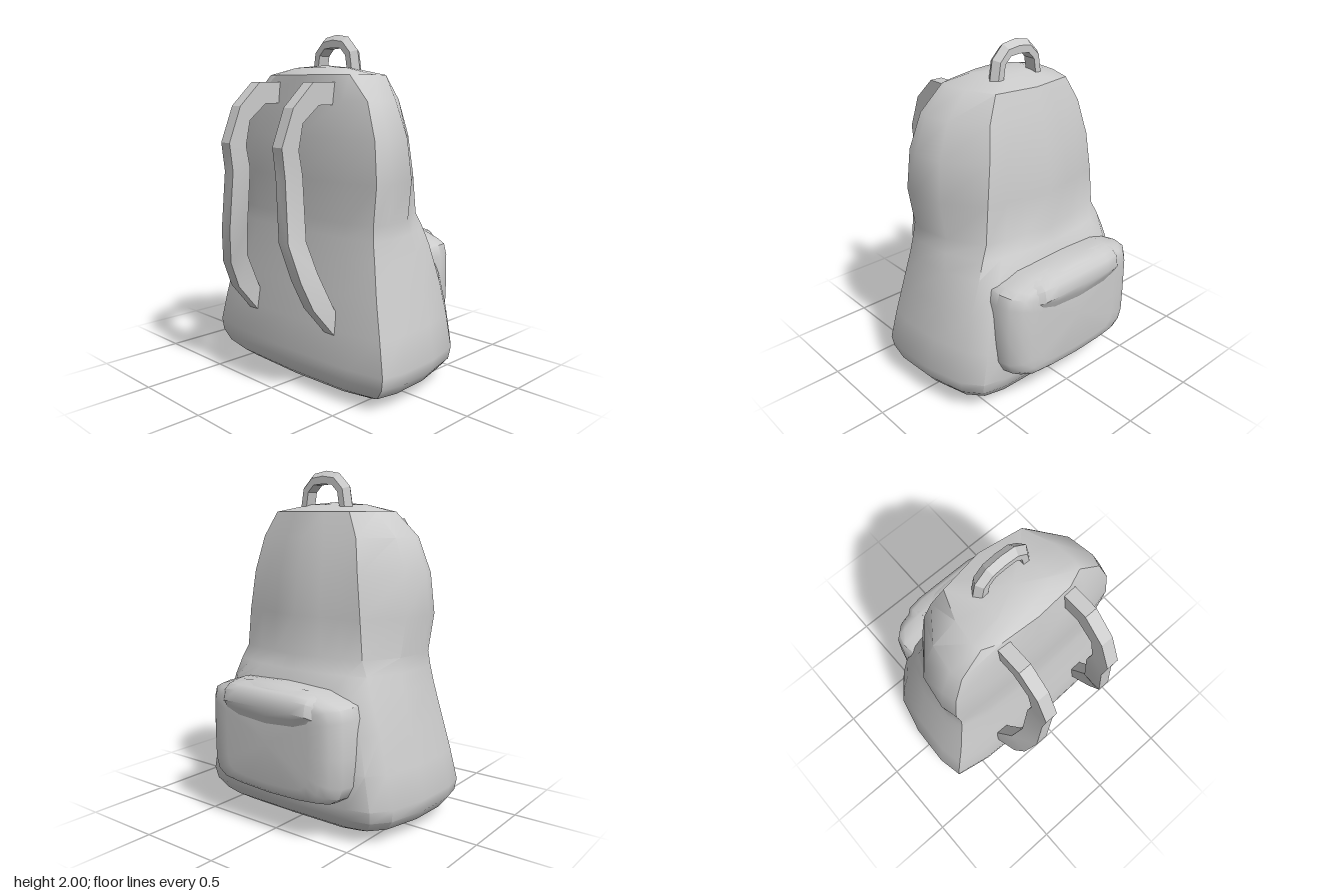
import * as THREE from 'three';
import { toCreasedNormals } from 'three/addons/utils/BufferGeometryUtils.js';

const material = new THREE.MeshStandardMaterial({ color: 0xcccccc });
const lerp = THREE.MathUtils.lerp;

// Closed skin over rings of [x, y, z] points; each end is fanned to its centre,
// shifted by an optional offset. Winding is set so that faces point outward.
function loft(name, rings, crease, startOffset = [0, 0, 0], endOffset = [0, 0, 0]) {
  const n = rings[0].length;
  const points = rings.flat();
  const centre = (ring, offset) =>
    offset.map((o, k) => o + ring.reduce((sum, p) => sum + p[k], 0) / n);
  const start = points.push(centre(rings[0], startOffset)) - 1;
  const end = points.push(centre(rings[rings.length - 1], endOffset)) - 1;
  const last = (rings.length - 1) * n;
  const faces = [];
  for (let j = 0; j < n; j++) {
    const k = (j + 1) % n;
    for (let i = 0; i < last; i += n) {
      faces.push([i + j, i + k, i + n + k], [i + j, i + n + k, i + n + j]);
    }
    faces.push([start, k, j], [end, last + j, last + k]);
  }
  const v = points.map((p) => new THREE.Vector3(...p));
  const volume = faces.reduce(
    (sum, [a, b, c]) => sum + v[a].dot(new THREE.Vector3().crossVectors(v[b], v[c])), 0);
  const index = faces.flatMap(([a, b, c]) => (volume < 0 ? [a, c, b] : [a, b, c]));
  const geometry = new THREE.BufferGeometry();
  geometry.setAttribute('position', new THREE.Float32BufferAttribute(points.flat(), 3));
  geometry.setIndex(index);
  const mesh = new THREE.Mesh(toCreasedNormals(geometry, crease), material);
  mesh.name = name;
  return mesh;
}

// Main bag: horizontal sections, round-fronted below and creased above
function makeBody() {
  // y, back x, half width, front corner x, front corner z, front x, roundness
  const rows = [
    [0.01, -0.25, 0.40, 0.18, 0.33, 0.25, 1],
    [0.035, -0.31, 0.57, 0.23, 0.50, 0.33, 1],
    [0.075, -0.36, 0.665, 0.27, 0.60, 0.39, 1],
    [0.14, -0.38, 0.715, 0.30, 0.65, 0.435, 1],
    [0.21, -0.385, 0.727, 0.31, 0.66, 0.455, 1],
    [0.4, -0.365, 0.685, 0.31, 0.62, 0.45, 1],
    [0.6, -0.34, 0.635, 0.30, 0.57, 0.43, 1],
    [0.8, -0.31, 0.59, 0.29, 0.50, 0.405, 0.8],
    [0.9, -0.30, 0.57, 0.275, 0.46, 0.36, 0.4],
    [0.98, -0.29, 0.56, 0.26, 0.42, 0.335, 0],
    [1.2, -0.30, 0.59, 0.255, 0.40, 0.33, 0],
    [1.43, -0.29, 0.565, 0.24, 0.37, 0.295, 0],
    [1.63, -0.27, 0.49, 0.20, 0.33, 0.25, 0],
    [1.77, -0.255, 0.34, 0.165, 0.26, 0.205, 0],
    [1.81, -0.20, 0.17, 0.03, 0.12, 0.06, 0],
  ];
  const rings = rows.map(([y, xb, w, xc, zc, xf, r]) => {
    const half = [
      [xb, 0],
      [xb + 0.015, w * 0.66],
      [xb + 0.055, w * 0.96],
      [lerp(xb, xf, 0.24), w],
      [lerp(xb, xf, 0.55), w * lerp(0.95, 0.985, r)],
      [xc, zc],
      [lerp(xc, xf, lerp(0.3, 0.7, r)), zc * (1 - lerp(0.3, 0.12, r))],
      [lerp(xc, xf, lerp(0.6, 0.95, r)), zc * (1 - lerp(0.6, 0.32, r))],
      [xf, 0],
    ];
    const other = half.slice(1, -1).reverse().map(([x, z]) => [x, -z]);
    return [...half, ...other].map(([x, z]) => [x, y, z]);
  });
  return loft('body', rings, 0.66, [0, -0.01, 0], [0, 0.015, 0]);
}

// Front pocket: rounded outline stepped forward along x
function makePocket() {
  const half = [[0, 0.845], [0.3, 0.83], [0.42, 0.79], [0.47, 0.765], [0.49, 0.70],
    [0.493, 0.5], [0.49, 0.34], [0.465, 0.275], [0.40, 0.235], [0.25, 0.22], [0, 0.212]];
  const outline = [...half, ...half.slice(1, -1).reverse().map(([z, y]) => [-z, y])];
  // x, z scale, y scale
  const steps = [[0.28, 0.95, 0.96], [0.42, 1, 1], [0.50, 0.96, 0.99],
    [0.55, 0.85, 0.95], [0.57, 0.75, 0.89], [0.578, 0.6, 0.75]];
  const rings = steps.map(([x, sz, sy]) =>
    outline.map(([z, y]) => [x, 0.53 + (y - 0.53) * sy, z * sz]));
  return loft('pocket', rings, 0.8);
}

// Flap: padded roll across the top of the pocket
function makeFlap() {
  const profile = [[0.48, 0.835], [0.57, 0.82], [0.60, 0.795], [0.613, 0.73],
    [0.60, 0.68], [0.575, 0.63], [0.48, 0.63]];
  const rings = [-0.335, -0.29, -0.2, 0, 0.2, 0.29, 0.335].map((z) => {
    const a = Math.abs(z);
    const inset = a > 0.3 ? 0.045 : a > 0.25 ? 0.012 : 0;
    return profile.map(([x, y]) =>
      [x > 0.5 ? x - inset : x, y > 0.7 ? y - inset * 0.6 : y + a * 0.075, z]);
  });
  return loft('flap', rings, 0.7);
}

// Shoulder strap: flat band with outer and inner edges, drifting outward at the bottom
function makeStrap(side) {
  // outer x, outer y, inner x, inner y, z
  const stations = [
    [-0.22, 1.73, -0.22, 1.61, 0.22],
    [-0.40, 1.73, -0.36, 1.61, 0.22],
    [-0.54, 1.60, -0.475, 1.52, 0.22],
    [-0.62, 1.40, -0.505, 1.38, 0.22],
    [-0.60, 1.24, -0.48, 1.25, 0.22],
    [-0.61, 0.90, -0.485, 0.90, 0.25],
    [-0.57, 0.70, -0.45, 0.73, 0.30],
    [-0.50, 0.54, -0.35, 0.52, 0.32],
    [-0.33, 0.34, -0.30, 0.44, 0.33],
  ];
  const rings = stations.map(([xo, yo, xi, yi, z]) => [
    [xo, yo, side * (z - 0.038)], [xo, yo, side * (z + 0.038)],
    [xi, yi, side * (z + 0.038)], [xi, yi, side * (z - 0.038)],
  ]);
  return loft(side > 0 ? 'leftStrap' : 'rightStrap', rings, 0.3);
}

// Carrying handle: ridged band arched over the top
function makeHandle() {
  // outer z, outer y, inner z, inner y
  const half = [[0.19, 1.76, 0.125, 1.76], [0.165, 1.91, 0.105, 1.88],
    [0.09, 1.985, 0.065, 1.92], [0, 2.0, 0, 1.925]];
  const mirrored = half.slice(0, -1).reverse().map(([a, b, c, d]) => [-a, b, -c, d]);
  const rings = [...half, ...mirrored].map(([zo, yo, zi, yi]) => {
    const ze = lerp(zo, zi, 0.42);
    const ye = lerp(yo, yi, 0.42);
    return [[0.03, yo, zo], [0.07, ye, ze], [0.07, yi, zi], [-0.01, yi, zi], [-0.01, ye, ze]];
  });
  return loft('handle', rings, 0.4);
}

export function createModel() {
  const group = new THREE.Group();
  group.name = 'backpack';
  group.add(makeBody(), makePocket(), makeFlap(), makeStrap(1), makeStrap(-1), makeHandle());
  return group;
}
